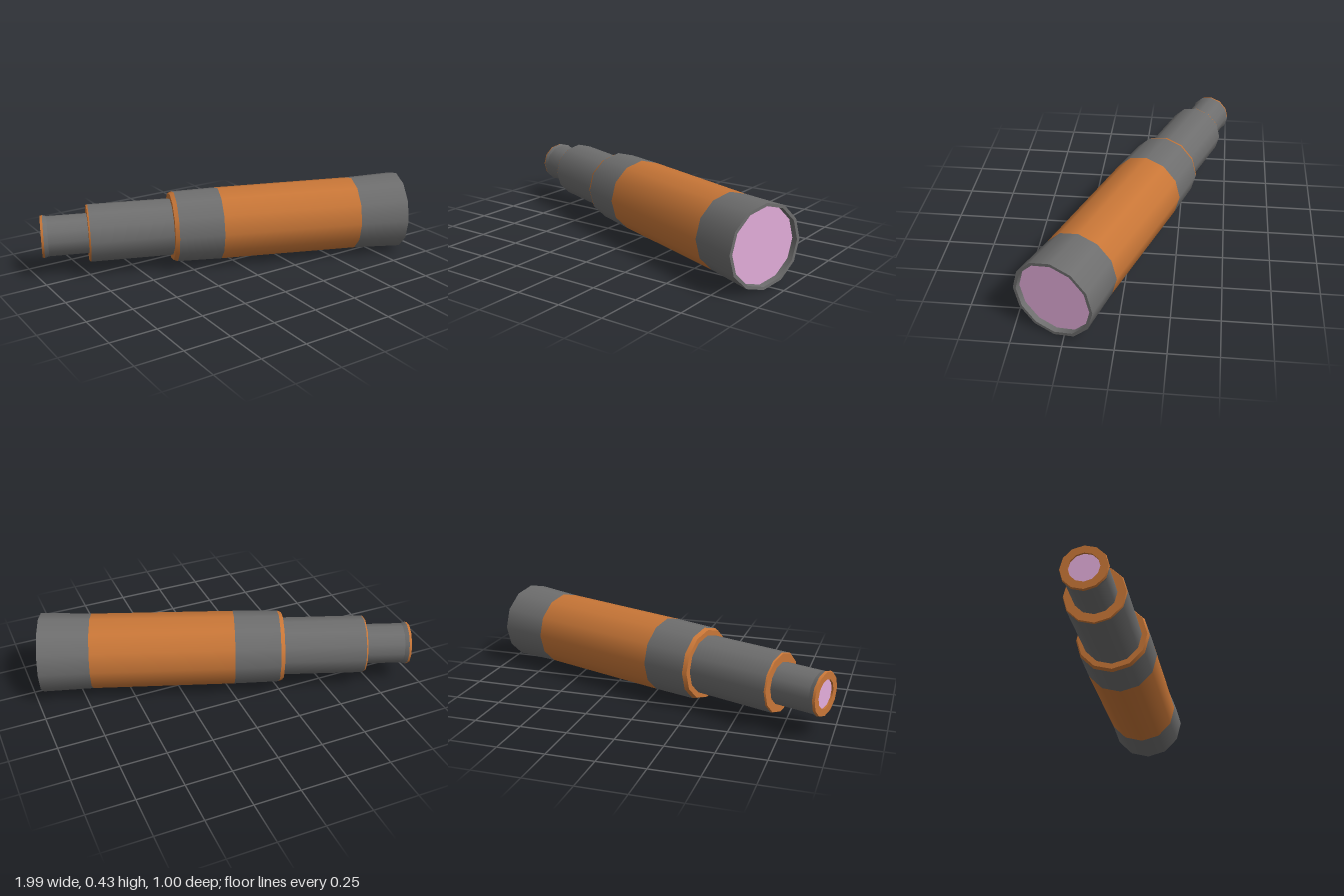
import * as THREE from 'three';

const SIDES = 12;
const grey = new THREE.MeshStandardMaterial({ color: 0x6e6e6e });
const orange = new THREE.MeshStandardMaterial({ color: 0xc87637 });
const pink = new THREE.MeshStandardMaterial({ color: 0xe3addb });

export function createModel() {
  const model = new THREE.Group();
  model.name = 'spyglass';

  // One straight stretch of the turned profile: [radius, position] to [radius, position]
  const band = (name, material, a, b) => {
    const points = [a, b].map(([r, t]) => new THREE.Vector2(r, t));
    const mesh = new THREE.Mesh(new THREE.LatheGeometry(points, SIDES), material);
    mesh.name = name;
    model.add(mesh);
  };

  // A run of such stretches, each with sharp edges to the next
  const run = (name, material, ...profile) => {
    for (let i = 0; i + 1 < profile.length; i++) {
      band(name, material, profile[i], profile[i + 1]);
    }
  };

  // Eyepiece with recessed lens
  run('eyepieceLens', pink, [0, -0.99], [0.075, -0.99]);
  run('eyepieceRim', orange, [0.075, -0.99], [0.075, -1], [0.113, -1], [0.116, -0.987]);
  run('eyepieceTube', grey, [0.116, -0.987], [0.109, -0.965], [0.109, -0.75]);

  // Middle draw tube
  run('middleTubeRim', orange, [0.109, -0.755], [0.153, -0.755], [0.157, -0.747]);
  run('middleTube', grey, [0.157, -0.747], [0.157, -0.3]);

  // Main barrel with its wrapped grip
  run('barrelRim', orange, [0.157, -0.305], [0.186, -0.305], [0.195, -0.283]);
  run('barrelRear', grey, [0.195, -0.283], [0.2, -0.04]);
  run('barrelGrip', orange, [0.2, -0.04], [0.204, 0.73]);
  run('barrelFront', grey, [0.204, 0.73], [0.215, 1], [0.199, 1], [0.197, 0.97]);
  run('frontLens', pink, [0.197, 0.97], [0, 0.97]);

  // Lay the turned shape on its side, swung toward the front
  model.rotation.set(0, -THREE.MathUtils.degToRad(20.4), -Math.PI / 2);
  model.position.set(-0.018, 0.217, -0.049);

  const root = new THREE.Group();
  root.add(model);
  return root;
}
